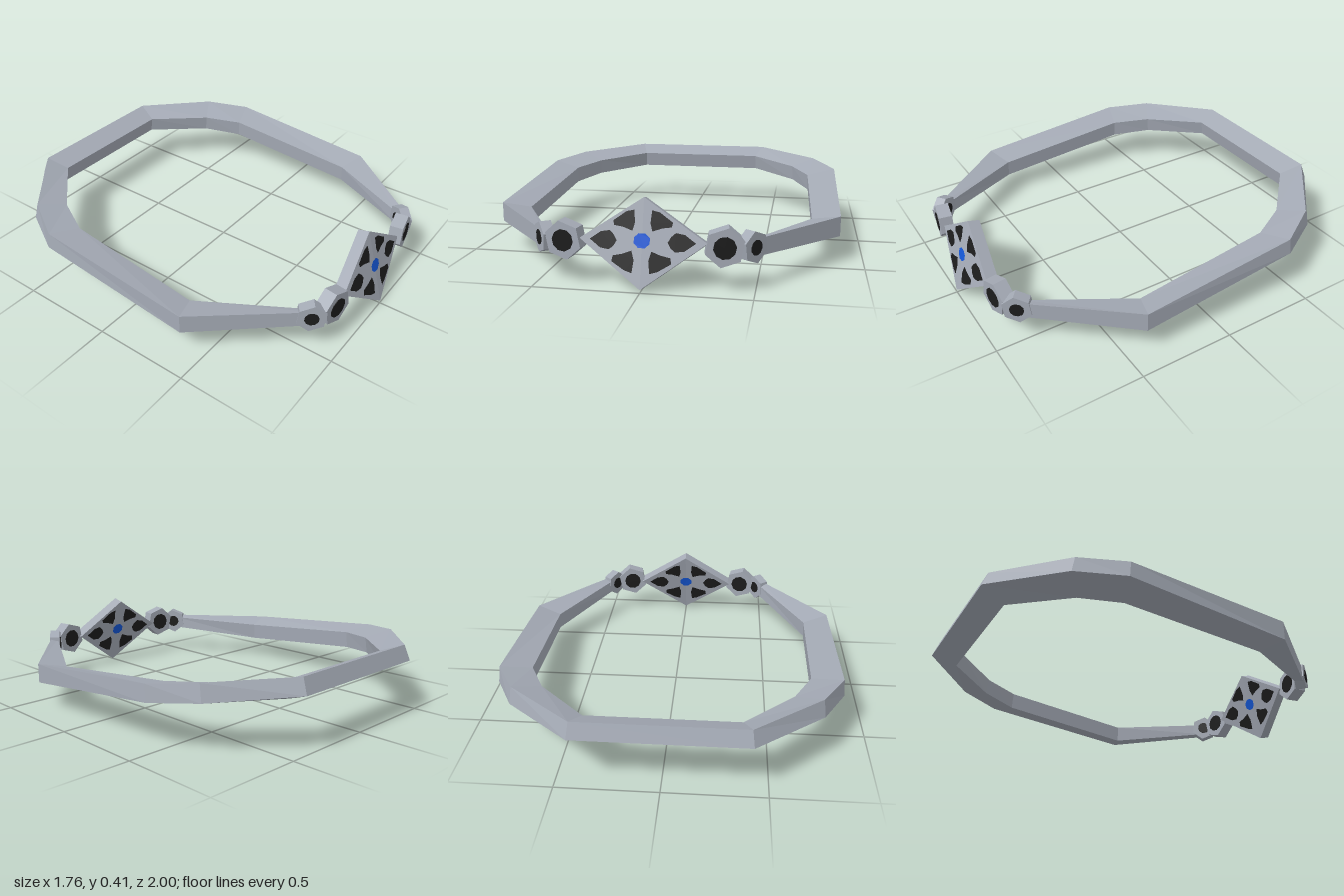
import * as THREE from 'three';

const mat = (name, color, side = THREE.FrontSide) => {
  const m = new THREE.MeshStandardMaterial({ color, side });
  m.name = name;
  return m;
};

export function createModel() {
  const model = new THREE.Group();
  model.name = 'circlet';
  const steel = mat('steel grey', 0xa4aab5);
  const black = mat('black inlay', 0x1c1c1c, THREE.DoubleSide);
  const blue = mat('blue jewel', 0x1557d6, THREE.DoubleSide);

  const add = (parent, name, geometry, material) => {
    const mesh = new THREE.Mesh(geometry, material);
    mesh.name = name;
    parent.add(mesh);
    return mesh;
  };
  const flat = (g) => {
    const f = g.index ? g.toNonIndexed() : g;
    f.computeVertexNormals();
    return f;
  };
  // Move every vertex by a rule
  const warp = (g, rule) => {
    const p = g.attributes.position;
    for (let i = 0; i < p.count; i++) p.setXYZ(i, ...rule(p.getX(i), p.getY(i), p.getZ(i)));
    return flat(g);
  };

  // Band: tilted four-sided sections (outer top, outer bottom, inner bottom, inner top)
  const half = [
    [[0.48, 0.235, 0.89], [0.48, 0.155, 0.89], [0.47, 0.16, 0.84], [0.475, 0.225, 0.84]],
    [[0.88, 0.235, 0.40], [0.88, 0.135, 0.40], [0.745, 0.115, 0.35], [0.74, 0.205, 0.35]],
    [[0.872, 0.312, -0.46], [0.88, 0.228, -0.47], [0.72, 0.19, -0.41], [0.715, 0.28, -0.405]],
    [[0.75, 0.336, -0.68], [0.76, 0.25, -0.70], [0.625, 0.21, -0.61], [0.62, 0.295, -0.60]],
    [[0.41, 0.355, -0.97], [0.42, 0.275, -1.0], [0.375, 0.225, -0.87], [0.37, 0.31, -0.853]],
  ];
  const mirrored = half.map((s) => s.map(([x, y, z]) => [-x, y, z])).reverse();
  const rings = [...half, ...mirrored];
  const index = [];
  for (let i = 0; i < rings.length - 1; i++) {
    for (let j = 0; j < 4; j++) {
      const k = (j + 1) % 4;
      const a = i * 4 + j, b = i * 4 + k, c = b + 4, d = a + 4;
      index.push(a, b, c, a, c, d);
    }
  }
  const e = (rings.length - 1) * 4;
  index.push(0, 2, 1, 0, 3, 2, e, e + 1, e + 2, e, e + 2, e + 3);
  const band = new THREE.BufferGeometry();
  band.setAttribute('position', new THREE.Float32BufferAttribute(rings.flat(2), 3));
  band.setIndex(index);
  add(model, 'band', flat(band), steel);

  // Front plate: leaning diamond, folded slightly along its middle
  const THICK = 0.06;
  const plate = new THREE.Group();
  plate.name = 'frontPlate';
  model.add(plate);
  const surface = (x, y) => 0.945 - (y - 0.215) * 0.28 - Math.abs(x) * 0.05;
  const shapeOf = (pts, s) => new THREE.Shape(pts.map(([x, y]) => new THREE.Vector2(x * s, y)));
  for (const s of [1, -1]) {
    const shape = shapeOf([[0, 0.41], [0, 0.015], [0.29, 0.22]], s);
    const g = new THREE.ExtrudeGeometry(shape, { depth: THICK, bevelEnabled: false });
    add(plate, 'plateHalf', warp(g, (x, y, z) =>
      [x, y - 0.015 * (1 - z / THICK), surface(x, y) - THICK + z]), steel);
  }

  // Thin inlays lying on the front and back of the plate
  const inlay = (name, shape, material, lift) => {
    add(plate, name + 'Front', warp(new THREE.ShapeGeometry(shape),
      (x, y) => [x, y, surface(x, y) + lift]), material);
    add(plate, name + 'Back', warp(new THREE.ShapeGeometry(shape),
      (x, y) => [x, y - 0.015, surface(x, y) - THICK - lift]), material);
  };
  const spots = {
    upperInlay: [[0.04, 0.355], [0.075, 0.347], [0.135, 0.305], [0.13, 0.285], [0.09, 0.28], [0.045, 0.265], [0.035, 0.3]],
    sideInlay: [[0.24, 0.22], [0.19, 0.255], [0.15, 0.262], [0.13, 0.245], [0.115, 0.22], [0.13, 0.195], [0.15, 0.18], [0.19, 0.185]],
    lowerInlay: [[0.04, 0.085], [0.075, 0.095], [0.135, 0.13], [0.13, 0.155], [0.085, 0.165], [0.045, 0.18], [0.033, 0.14]],
  };
  for (const s of [1, -1]) {
    for (const [name, pts] of Object.entries(spots)) inlay(name, shapeOf(pts, s), black, 0.003);
  }
  const jewel = [];
  for (let i = 0; i < 8; i++) {
    const a = (i + 0.5) * Math.PI / 4;
    jewel.push([0.039 * Math.cos(a), 0.225 + 0.034 * Math.sin(a)]);
  }
  inlay('jewel', shapeOf(jewel, 1), blue, 0.005);

  // Hexagonal side studs with a dark centre on both faces
  const disc = (r, h, sides) => flat(new THREE.CylinderGeometry(r, r, h, sides).rotateX(Math.PI / 2));
  const studs = [
    { name: 'innerStud', pos: [0.362, 0.207, 0.905], r: 0.092, spot: 0.052, depth: 0.07, yaw: 0.15, roll: -0.2 },
    { name: 'outerStud', pos: [0.478, 0.2, 0.862], r: 0.076, spot: 0.036, depth: 0.055, yaw: 0.92, roll: 0.15 },
  ];
  for (const s of [1, -1]) {
    for (const d of studs) {
      const stud = new THREE.Group();
      stud.name = d.name;
      stud.position.set(d.pos[0] * s, d.pos[1], d.pos[2]);
      stud.rotation.set(0, d.yaw * s, d.roll * s);
      add(stud, 'studBody', disc(d.r, d.depth, 6), steel);
      add(stud, 'studCentre', disc(d.spot, d.depth + 0.006, 10), black);
      model.add(stud);
    }
  }
  return model;
}
